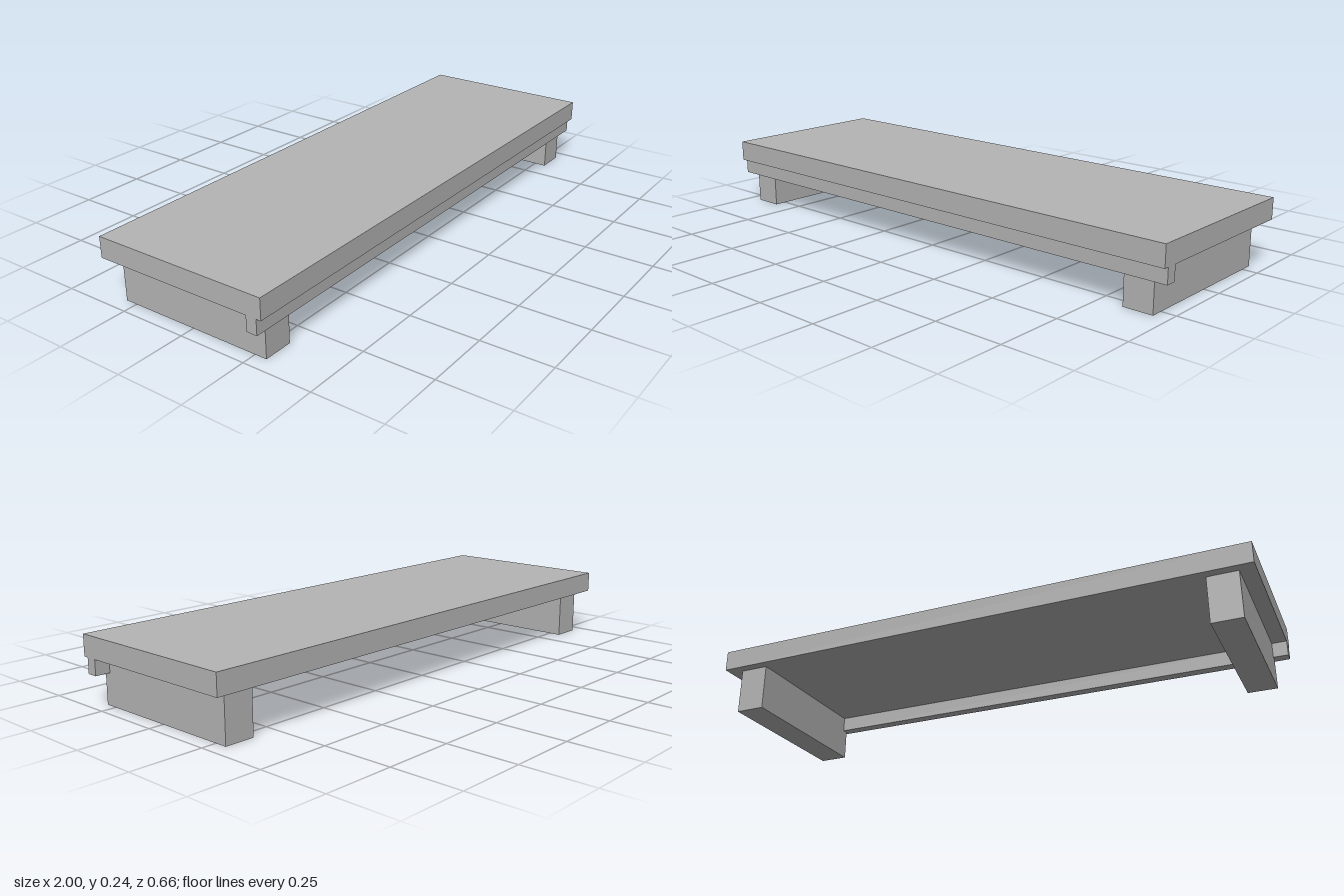
import * as THREE from 'three';

export function createModel() {
  const group = new THREE.Group();
  const grey = new THREE.MeshStandardMaterial({ color: 0xb4b4b4 });
  grey.name = 'grey';

  // Box given by its minimum and maximum corners
  function block(name, [x0, y0, z0], [x1, y1, z1]) {
    const mesh = new THREE.Mesh(new THREE.BoxGeometry(x1 - x0, y1 - y0, z1 - z0), grey);
    mesh.position.set((x0 + x1) / 2, (y0 + y1) / 2, (z0 + z1) / 2);
    mesh.name = name;
    group.add(mesh);
  }

  const underside = 0.167;

  // Flat top board
  block('topBoard', [-1, underside, -0.328], [1, 0.242, 0.328]);

  // Narrow rail below the front edge
  block('frontRail', [-1, 0.112, 0.271], [1, underside, 0.31]);

  // Supporting feet running front to back
  block('leftFoot', [0.84, 0, -0.294], [0.947, underside, 0.294]);
  block('rightFoot', [-0.947, 0, -0.294], [-0.84, underside, 0.294]);

  return group;
}
